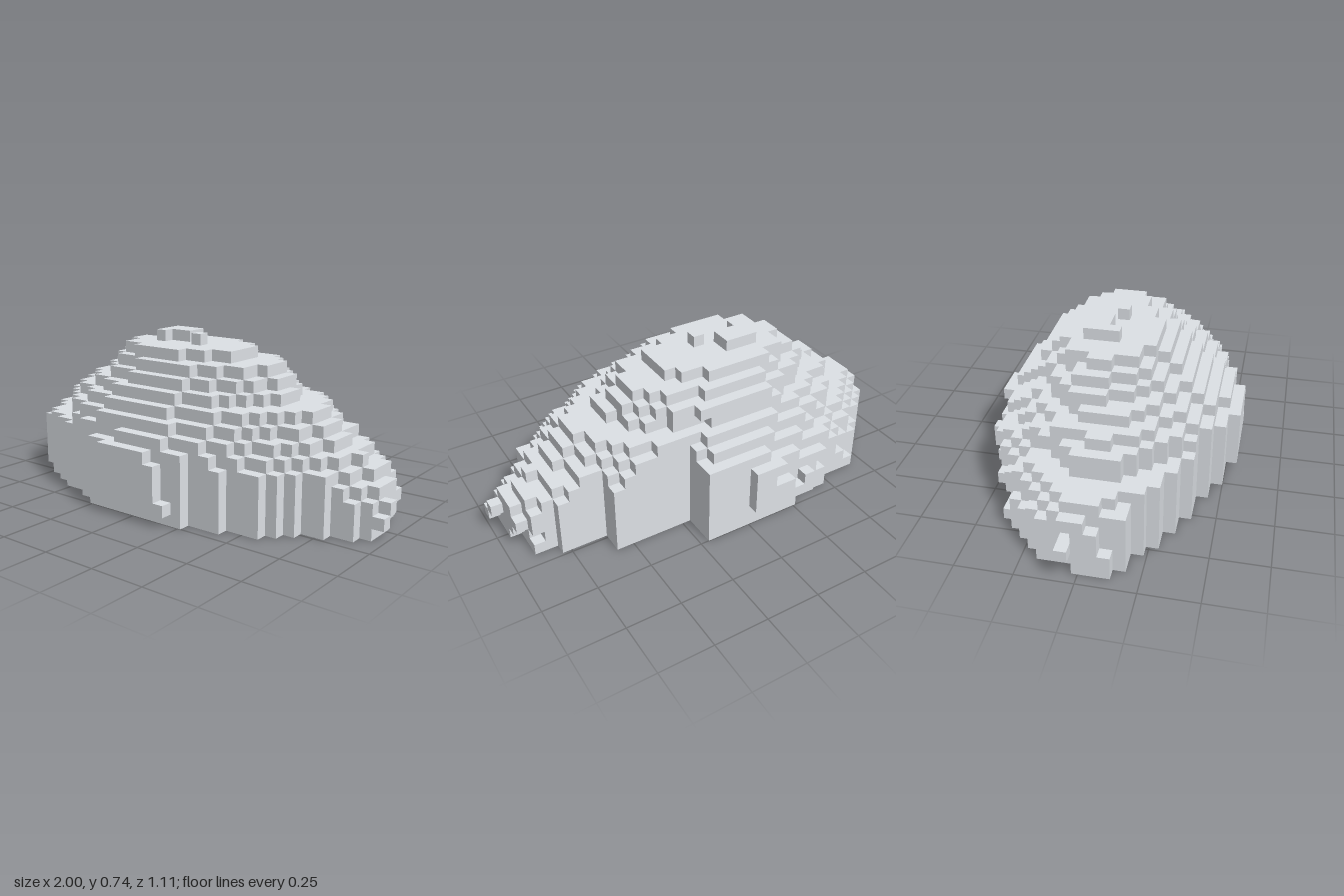
import * as THREE from 'three';
import { mergeGeometries } from 'three/addons/utils/BufferGeometryUtils.js';

const NX = 38, NZ = 21, S = 2 / NX;

// Widest footprint: first and last filled column for each row, back to front
const FOOTPRINT = [
  [13, 18], [11, 22], [8, 22], [6, 22], [4, 29], [4, 29], [2, 33], [1, 35], [1, 36], [1, 36], [1, 36],
  [1, 36], [1, 36], [2, 35], [4, 33], [5, 31], [7, 30], [9, 29], [12, 26], [14, 23], [16, 22],
];

// Each layer from the ground up: first and last column, first and last row, corner slope
const LAYERS = [
  [1, 36, 1, 19, 0.1], [1, 36, 1, 20, 0.1], [1, 36, 0, 20, 0.22], [1, 36, 0, 20, 0.38], [1, 35, 0, 20, 0.52],
  [2, 34, 0, 20, 0.65], [5, 32, 1, 19, 0.4], [5, 31, 2, 18, 0.35], [6, 30, 3, 17, 0.3], [8, 27, 4, 16, 0.25],
  [9, 26, 4, 15, 0.25], [10, 25, 5, 14, 0.25], [11, 22, 6, 13, 0.2],
];

// Single blocks that stick out: column, layer, row
const KNOBS = [
  [0, 2, 9], [37, 2, 11], [37, 1, 12], [13, 2, 0], [13, 3, 0],
  [14, 13, 8], [15, 13, 8], [16, 13, 8], [14, 13, 9], [15, 13, 9], [16, 13, 9], [14, 13, 10], [18, 13, 10],
];

const key = (i, k, j) => `${i},${k},${j}`;

// Fill every layer as a ragged oval clipped to the footprint
function fillBlocks() {
  const blocks = new Map();
  const add = (i, k, j) => blocks.set(key(i, k, j), [i, k, j]);
  LAYERS.forEach(([x0, x1, z0, z1, slope], k) => {
    for (let j = z0; j <= z1; j++) {
      for (let i = x0; i <= x1; i++) {
        if (i < FOOTPRINT[j][0] || i > FOOTPRINT[j][1]) continue;
        const u = (2 * i - x0 - x1) / (x1 - x0 + 1);
        const v = (2 * j - z0 - z1) / (z1 - z0 + 1);
        // Two opposite corners slope back strongly, the other two stay steeper
        const cut = slope * Math.max(u * v, -0.5 * u * v);
        const angle = Math.atan2(v, u);
        const ragged = 0.03 * Math.sin(7 * angle + k * 0.9) + 0.03 * Math.sin(13 * angle + k * 2.3);
        if (Math.abs(u) ** 2.1 + Math.abs(v) ** 2.1 + cut <= 1 + ragged) add(i, k, j);
      }
    }
  });
  KNOBS.forEach((b) => add(...b));
  return blocks;
}

// Outward face for each of the six directions
function makeFaces() {
  return [[1, 0, 0], [-1, 0, 0], [0, 1, 0], [0, -1, 0], [0, 0, 1], [0, 0, -1]].map((dir) => {
    const normal = new THREE.Vector3(...dir);
    const turn = new THREE.Quaternion().setFromUnitVectors(new THREE.Vector3(0, 0, 1), normal);
    const face = new THREE.PlaneGeometry(S, S).applyQuaternion(turn);
    face.translate(dir[0] * S / 2, dir[1] * S / 2, dir[2] * S / 2);
    return { dir, face };
  });
}

export function createModel() {
  const group = new THREE.Group();
  group.name = 'blockyBoulder';
  const stone = new THREE.MeshStandardMaterial({ color: 0xdde1e6 });
  stone.name = 'stone grey';

  // Keep only the faces that touch open air
  const blocks = fillBlocks();
  const faces = makeFaces();
  const skin = [];
  for (const [i, k, j] of blocks.values()) {
    for (const { dir, face } of faces) {
      if (blocks.has(key(i + dir[0], k + dir[1], j + dir[2]))) continue;
      skin.push(face.clone().translate((i + 0.5 - NX / 2) * S, (k + 0.5) * S, (j + 0.5 - NZ / 2) * S));
    }
  }
  const boulder = new THREE.Mesh(mergeGeometries(skin), stone);
  boulder.name = 'boulder';
  group.add(boulder);
  return group;
}
